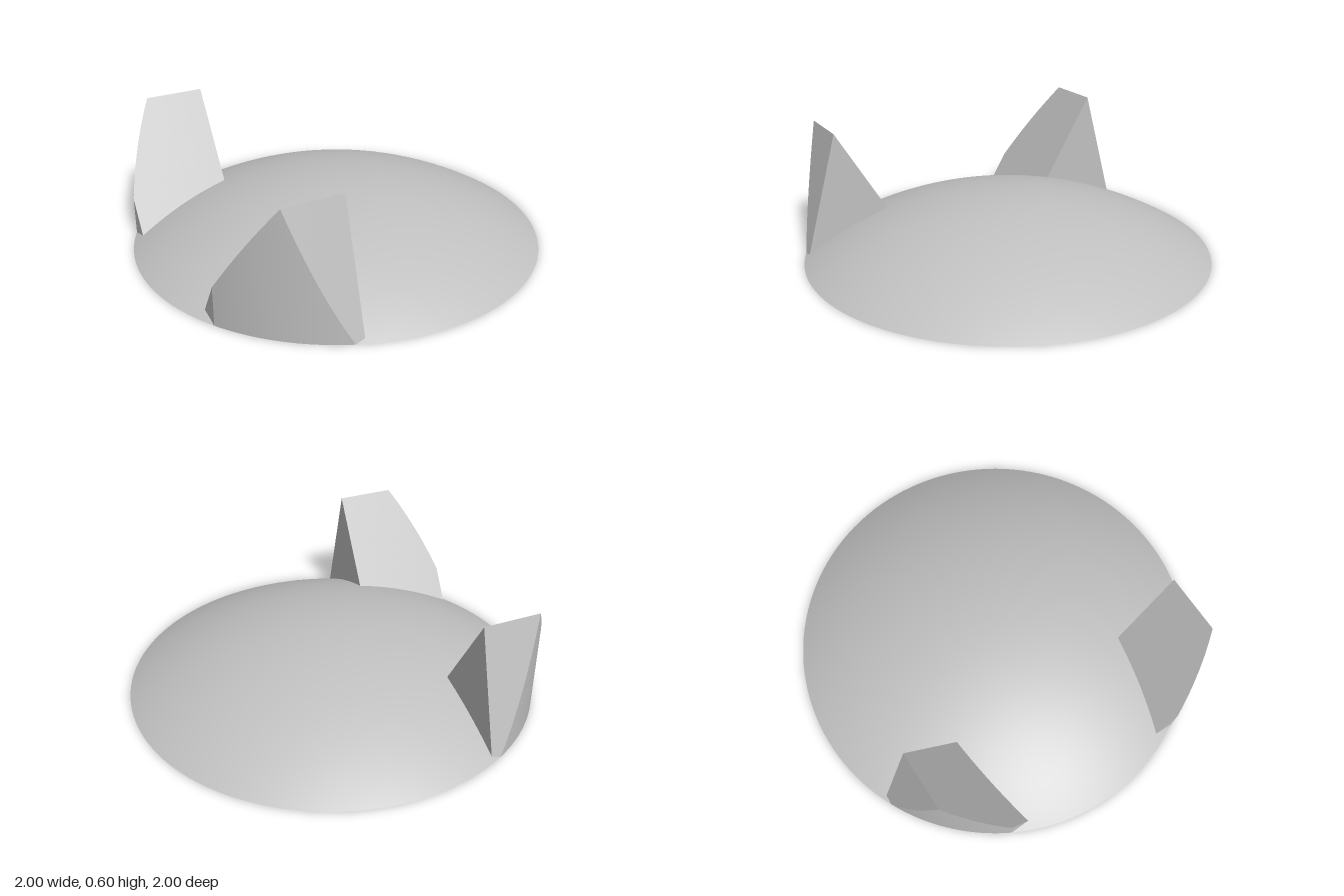
import * as THREE from 'three';
import { toCreasedNormals } from 'three/addons/utils/BufferGeometryUtils.js';

const HEIGHT = 0.28;
const SPHERE_R = (1 + HEIGHT * HEIGHT) / (2 * HEIGHT);
const HOLE_R = 0.058, HOLE_DEPTH = 0.05;
const HOLES = [0.81, -0.69];

// Fin cross-section: inner foot, ridge and outer foot
const Z_IN = 0.372, Z_TOP = 0.735, Z_OUT = 0.9, FIN_H = 0.6;

// Four section corners at x, trimmed by the unit cylinder of the rim
function finSection(x, side) {
  const rim = Math.sqrt(1 - x * x);
  const zp = Math.min(Z_TOP, rim), zq = Math.min(Z_OUT, rim);
  const yp = FIN_H * (zp - Z_IN) / (Z_TOP - Z_IN);
  const yq = zq <= Z_TOP ? yp : FIN_H * (Z_OUT - zq) / (Z_OUT - Z_TOP);
  return [[Z_IN, 0], [zp, yp], [zq, yq], [zq, 0]]
    .map(([z, y]) => new THREE.Vector3(x, y, z * side));
}

function finGeometry(side) {
  // Stations along x, with exact breaks where the rim meets ridge and foot
  const breaks = [-0.875, -Math.sqrt(1 - Z_TOP ** 2), -Math.sqrt(1 - Z_OUT ** 2), -0.39];
  const steps = [12, 12, 2];
  const xs = [breaks[0]];
  steps.forEach((n, k) => {
    for (let i = 1; i <= n; i++) xs.push(THREE.MathUtils.lerp(breaks[k], breaks[k + 1], i / n));
  });
  const rows = xs.map((x) => finSection(x, side));

  const pos = [];
  const tri = (a, b, c) => {
    if (new THREE.Triangle(a, b, c).getArea() < 1e-8) return;
    for (const p of side > 0 ? [a, b, c] : [a, c, b]) pos.push(p.x, p.y, p.z);
  };
  const quad = (a, b, c, d) => { tri(a, b, c); tri(a, c, d); };

  for (let i = 0; i + 1 < rows.length; i++) {
    for (let j = 0; j < 3; j++) quad(rows[i][j], rows[i][j + 1], rows[i + 1][j + 1], rows[i + 1][j]);
  }
  const [a, b, c, d] = rows[0];
  quad(d, c, b, a);
  quad(...rows[rows.length - 1]);

  const geo = new THREE.BufferGeometry();
  geo.setAttribute('position', new THREE.Float32BufferAttribute(pos, 3));
  return toCreasedNormals(geo, 0.4);
}

export function createModel() {
  const group = new THREE.Group();
  group.name = 'domeWithFins';
  const grey = new THREE.MeshStandardMaterial({ color: 0xc0c0c0 });
  grey.name = 'grey';

  const add = (name, geo) => {
    const mesh = new THREE.Mesh(geo, grey);
    mesh.name = name;
    group.add(mesh);
    return mesh;
  };

  // Shallow spherical dome
  const dome = new THREE.SphereGeometry(SPHERE_R, 128, 32, 0, Math.PI * 2, 0, Math.asin(1 / SPHERE_R));
  add('dome', dome.translate(0, HEIGHT - SPHERE_R, 0));

  // Flat underside with two peg holes
  const disc = new THREE.Shape().absarc(0, 0, 1, 0, Math.PI * 2);
  for (const x of HOLES) {
    disc.holes.push(new THREE.Path().absarc(x, 0, HOLE_R, 0, Math.PI * 2, true));
  }
  add('underside', new THREE.ShapeGeometry(disc, 64).rotateX(Math.PI / 2));

  // Blind hole walls and ceilings
  for (const x of HOLES) {
    const wall = [new THREE.Vector2(HOLE_R, HOLE_DEPTH), new THREE.Vector2(HOLE_R, 0)];
    add('holeWall', new THREE.LatheGeometry(wall, 32)).position.x = x;
    add('holeCeiling', new THREE.CircleGeometry(HOLE_R, 32).rotateX(Math.PI / 2))
      .position.set(x, HOLE_DEPTH, 0);
  }

  // Mirrored pair of fins
  add('frontFin', finGeometry(1));
  add('backFin', finGeometry(-1));
  return group;
}
